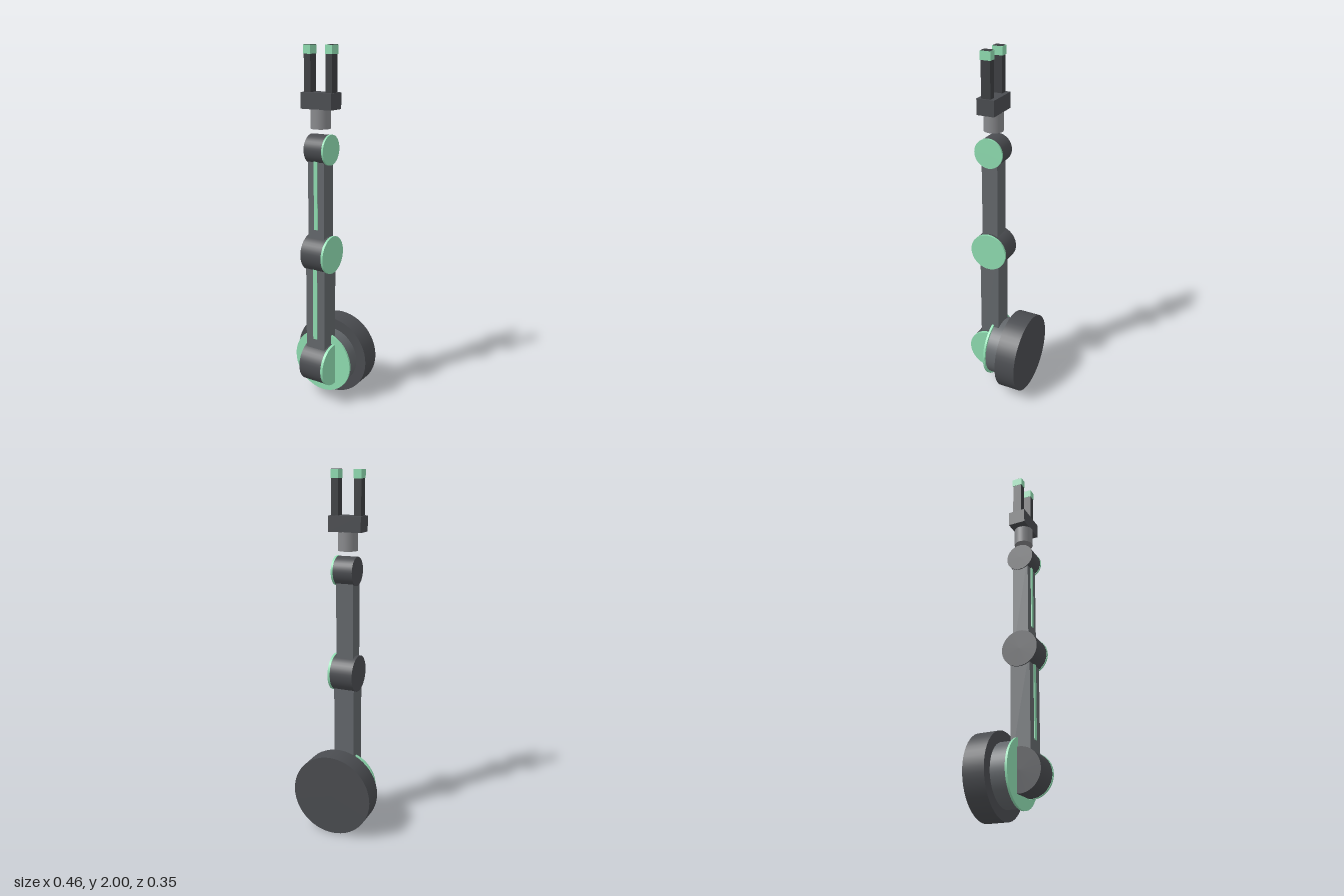
import * as THREE from 'three';

const material = (color) => new THREE.MeshStandardMaterial({ color });

export function createModel() {
  const model = new THREE.Group();
  model.name = 'roboticArm';
  const dark = material(0x4a4c50);
  const linkGrey = material(0x63676b);
  const neckGrey = material(0x88898c);
  const fingerDark = material(0x3c3e41);
  const green = material(0x8edcb0);
  const armZ = 0.054;

  function add(name, geometry, mat, parent = model) {
    const mesh = new THREE.Mesh(geometry, mat);
    mesh.name = name;
    parent.add(mesh);
    return mesh;
  }

  // Box given by its lower and upper corners
  function box(name, mat, [x0, y0, z0], [x1, y1, z1], parent) {
    const geometry = new THREE.BoxGeometry(x1 - x0, y1 - y0, z1 - z0);
    geometry.translate((x0 + x1) / 2, (y0 + y1) / 2, (z0 + z1) / 2);
    return add(name, geometry, mat, parent);
  }

  // Wall base: discs stacked along z
  function disc(name, mat, radius, z0, z1) {
    const geometry = new THREE.CylinderGeometry(radius, radius, z1 - z0, 48);
    geometry.rotateX(Math.PI / 2);
    geometry.translate(0, 0.23, (z0 + z1) / 2);
    return add(name, geometry, mat);
  }
  disc('base', dark, 0.23, -0.178, -0.058);
  disc('baseCollar', linkGrey, 0.17, -0.058, 0.03);
  disc('basePlate', green, 0.183, 0.03, 0.042);

  // Joints: barrel along x with a coloured cap on its left end
  function joint(name, y, radius, x0, x1, capEnd) {
    const group = new THREE.Group();
    group.name = name;
    group.position.set(0, y, armZ);
    model.add(group);
    const part = (label, mat, r, a, b) => {
      const geometry = new THREE.CylinderGeometry(r, r, b - a, 40);
      geometry.rotateZ(Math.PI / 2);
      geometry.translate((a + b) / 2, 0, 0);
      add(label, geometry, mat, group);
    };
    part(name + 'Barrel', dark, radius - 0.002, x0, x1);
    part(name + 'Cap', green, radius, x1, capEnd);
  }
  joint('shoulder', 0.233, 0.12, -0.072, 0.071, 0.086);
  joint('elbow', 0.892, 0.105, -0.067, 0.065, 0.078);
  joint('wrist', 1.467, 0.081, -0.056, 0.055, 0.066);

  // Arm links, each with a light strip on the front
  box('upperArm', linkGrey, [-0.06, 0.25, 0], [0.06, 0.88, 0.112]);
  box('upperArmStrip', green, [-0.013, 0.395, 0.105], [0.013, 0.85, 0.116]);
  box('forearm', linkGrey, [-0.05, 0.88, 0.009], [0.05, 1.46, 0.101]);
  box('forearmStrip', green, [-0.011, 1.035, 0.095], [0.011, 1.44, 0.106]);

  // Gripper
  const neck = add('gripperNeck', new THREE.CylinderGeometry(0.053, 0.053, 0.102, 32), neckGrey);
  neck.position.set(0, 1.627, armZ);
  box('gripperPalm', dark, [-0.094, 1.677, 0.003], [0.094, 1.762, 0.102]);

  for (const side of [-1, 1]) {
    const finger = new THREE.Group();
    finger.name = side > 0 ? 'leftFinger' : 'rightFinger';
    finger.position.set(side * 0.066, 0, 0.053);
    model.add(finger);
    box('fingerBar', fingerDark, [-0.02, 1.762, -0.026], [0.02, 2, 0.026], finger);
    // Coloured sleeve around the tip
    box('fingerTip', green, [-0.022, 1.953, -0.029], [0.022, 1.998, 0.029], finger);
  }

  return model;
}
